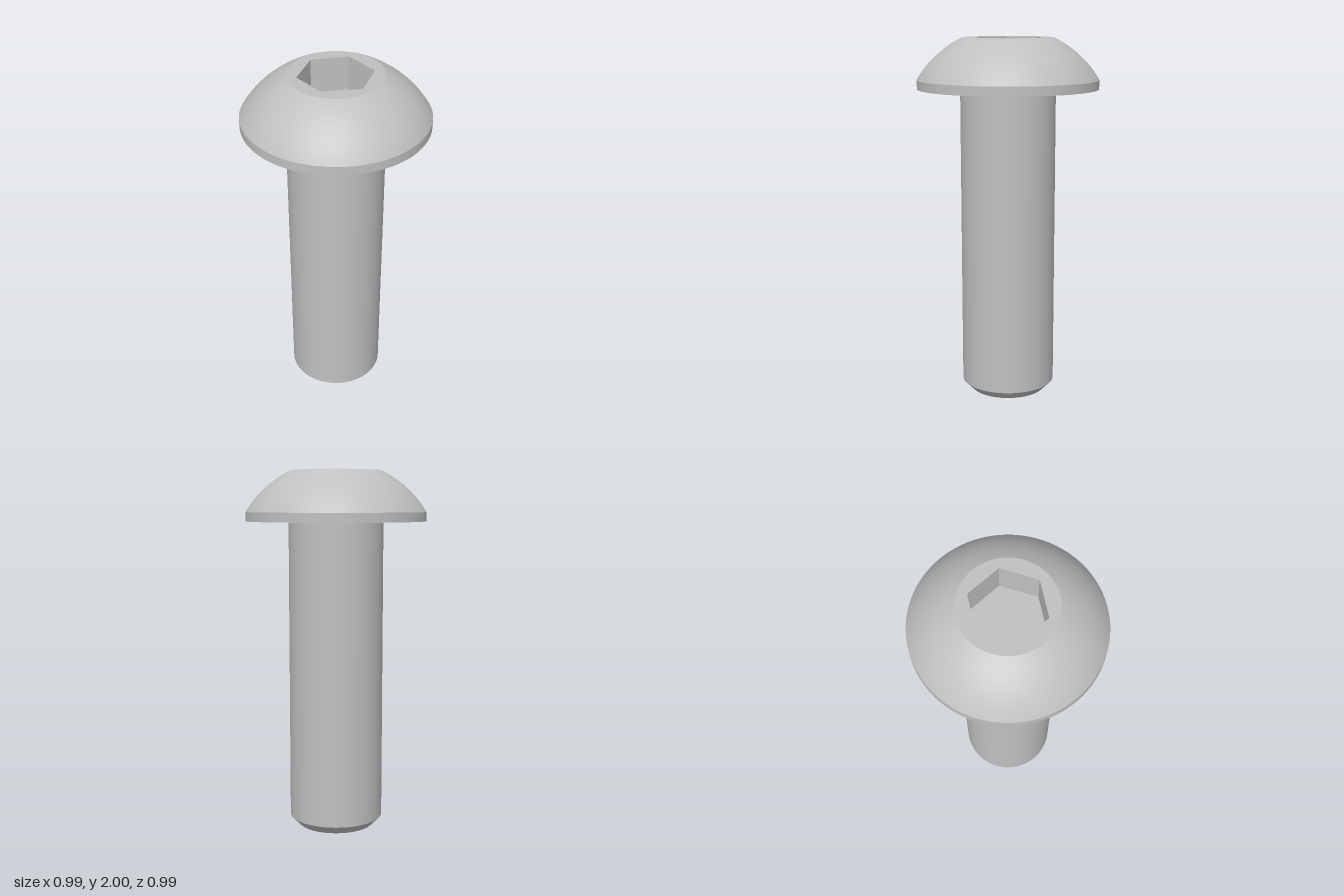
import * as THREE from 'three';

const SEGMENTS = 96;
const SHAFT_R = 0.262, TIP_R = 0.213, CHAMFER = 0.05;
const HEAD_R = 0.497, HEAD_Y = 1.725, RIM_Y = 1.775, TOP_Y = 2, TOP_R = 0.25;
const SOCKET_R = 0.2, SOCKET_DEPTH = 0.19;

export function createModel() {
  const steel = new THREE.MeshStandardMaterial({ color: 0xc0c0c0 });
  steel.name = 'steel';
  const model = new THREE.Group();
  model.name = 'buttonHeadScrew';

  const add = (parent, name, geometry) => {
    const mesh = new THREE.Mesh(geometry, steel);
    mesh.name = name;
    parent.add(mesh);
    return mesh;
  };
  const group = (name) => {
    const g = new THREE.Group();
    g.name = name;
    model.add(g);
    return g;
  };
  // One smooth turned band; separate bands keep the edges between them sharp
  const turn = (parent, name, points) => add(parent, name,
    new THREE.LatheGeometry(points.map(([r, y]) => new THREE.Vector2(r, y)), SEGMENTS));

  // Shaft with chamfered tip
  const shaft = group('shaft');
  turn(shaft, 'shaftEnd', [[0, 0], [TIP_R, 0]]);
  turn(shaft, 'shaftChamfer', [[TIP_R, 0], [SHAFT_R, CHAMFER]]);
  turn(shaft, 'shaftBody', [[SHAFT_R, CHAMFER], [SHAFT_R, HEAD_Y]]);

  // Head: flat underside, short rim, spherical dome
  const head = group('head');
  turn(head, 'headUnderside', [[SHAFT_R, HEAD_Y], [HEAD_R, HEAD_Y]]);
  turn(head, 'headRim', [[HEAD_R, HEAD_Y], [HEAD_R, RIM_Y]]);
  const centreY = (TOP_Y + RIM_Y) / 2 - (HEAD_R ** 2 - TOP_R ** 2) / (2 * (TOP_Y - RIM_Y));
  const domeR = Math.hypot(TOP_R, TOP_Y - centreY);
  const a0 = Math.atan2(RIM_Y - centreY, HEAD_R);
  const a1 = Math.atan2(TOP_Y - centreY, TOP_R);
  const dome = [];
  for (let i = 0; i <= 20; i++) {
    const a = a0 + (a1 - a0) * i / 20;
    dome.push([domeR * Math.cos(a), centreY + domeR * Math.sin(a)]);
  }
  turn(head, 'headDome', dome);

  // Flat top pierced by the hexagon
  const hexagon = [];
  for (let i = 0; i < 6; i++) {
    const a = i * Math.PI / 3;
    hexagon.push(new THREE.Vector2(SOCKET_R * Math.cos(a), SOCKET_R * Math.sin(a)));
  }
  const topShape = new THREE.Shape().absarc(0, 0, TOP_R, 0, Math.PI * 2, false);
  topShape.holes.push(new THREE.Path(hexagon));
  add(head, 'headTop', new THREE.ShapeGeometry(topShape, SEGMENTS / 2)
    .rotateX(-Math.PI / 2).translate(0, TOP_Y, 0));

  // Hex socket: mirrored tube so the walls face inward
  const socket = group('hexSocket');
  const walls = new THREE.CylinderGeometry(SOCKET_R, SOCKET_R, SOCKET_DEPTH, 6, 1, true, Math.PI / 6)
    .scale(-1, 1, 1).toNonIndexed();
  walls.computeVertexNormals();
  add(socket, 'socketWalls', walls.translate(0, TOP_Y - SOCKET_DEPTH / 2, 0));
  add(socket, 'socketFloor', new THREE.ShapeGeometry(new THREE.Shape(hexagon))
    .rotateX(-Math.PI / 2).translate(0, TOP_Y - SOCKET_DEPTH, 0));

  return model;
}
